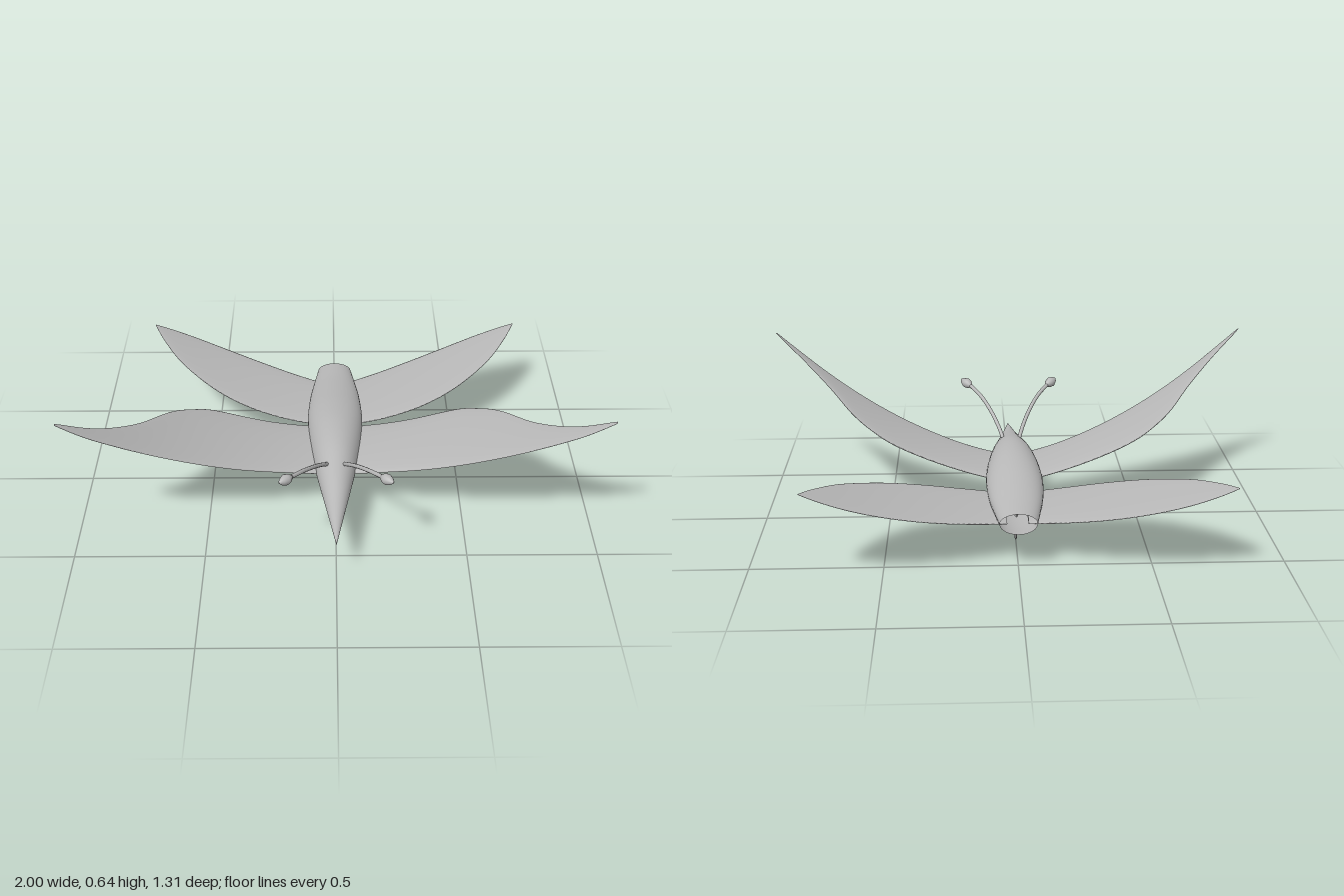
import * as THREE from 'three';

const grey = new THREE.MeshStandardMaterial({ color: 0xb8b8b8, side: THREE.DoubleSide });
grey.name = 'plain grey';

const v = (x, y, z) => new THREE.Vector3(x, y, z);

// Smooth curve through a few stations, sampled evenly per station
function sample(points, count) {
  const curve = new THREE.CatmullRomCurve3(points.map(p => v(...p)), false, 'catmullrom', 0.5);
  return Array.from({ length: count + 1 }, (_, i) => curve.getPoint(i / count));
}

// Skin a list of closed rings; the winding is turned so that faces point outward
function loft(name, rings) {
  const n = rings[0].length;
  const index = [];
  let volume = 0;
  const all = rings.flat();
  const face = (a, b, c) => {
    index.push(a, b, c);
    volume += all[a].dot(all[b].clone().cross(all[c]));
  };
  for (let i = 0; i < rings.length - 1; i++) {
    for (let j = 0; j < n; j++) {
      const k = (j + 1) % n;
      const a = i * n + j, b = i * n + k, c = a + n, d = b + n;
      face(a, b, c);
      face(b, d, c);
    }
  }
  if (volume < 0) index.reverse();
  const geometry = new THREE.BufferGeometry().setFromPoints(all);
  geometry.setIndex(index);
  geometry.computeVertexNormals();
  const mesh = new THREE.Mesh(geometry, grey);
  mesh.name = name;
  return mesh;
}

// Ring of n points from a function of the angle
const ring = (n, f) => Array.from({ length: n }, (_, j) => f(j / n * Math.PI * 2));

// Pointed body, open at the rear: z, half width, middle height, top, bottom
function makeBody() {
  const stations = [
    [0.65, 0.001, 0.18, 0.181, 0.179], [0.45, 0.036, 0.182, 0.215, 0.158],
    [0.3, 0.063, 0.185, 0.25, 0.145], [0.15, 0.088, 0.19, 0.281, 0.134],
    [0, 0.105, 0.195, 0.287, 0.126], [-0.15, 0.112, 0.195, 0.274, 0.121],
    [-0.3, 0.104, 0.19, 0.251, 0.12], [-0.42, 0.088, 0.187, 0.233, 0.126],
    [-0.54, 0.07, 0.182, 0.22, 0.14],
  ];
  const sides = sample(stations.map(s => [s[1], s[2], s[0]]), 48);
  const heights = sample(stations.map(s => [s[3], s[4], s[0]]), 48);
  return loft('body', sides.map((p, i) => ring(40, a => {
    const s = Math.sin(a);
    const h = s > 0 ? heights[i].x - p.y : p.y - heights[i].y;
    return v(p.x * Math.cos(a), p.y + h * s, p.z);
  })));
}

// Thin lens-shaped wing between two edge curves (x, z), arched upward along x
function makeWing(name, side, front, rear, arch, thickness) {
  const to3 = ([x, z]) => [x, 0, z];
  const f = sample(front.map(to3), 40), r = sample(rear.map(to3), 40);
  return loft(name, f.map((p, i) => {
    const t = thickness * (1 - 0.8 * i / 40) * (i === 40 ? 0.3 : 1);
    return ring(28, a => {
      const q = p.clone().lerp(r[i], (1 - Math.cos(a)) / 2);
      return v(side * q.x, arch(q.x) + t * Math.sin(a), q.z);
    });
  }));
}

// Belly fin: height, front z, rear z, half thickness
function makeFin() {
  const rows = [
    [0.15, 0.11, -0.322, 0.016], [0.12, 0.06, -0.32, 0.014], [0.07, -0.015, -0.312, 0.011],
    [0.03, -0.105, -0.297, 0.008], [0.012, -0.19, -0.277, 0.006], [0, -0.242, -0.256, 0.002],
  ];
  const edges = sample(rows.map(r => [r[1], r[0], r[2]]), 30);
  const widths = sample(rows.map(r => [r[3], r[0], 0]), 30);
  return loft('bellyFin', edges.map((e, i) => ring(24, a =>
    v(widths[i].x * Math.sin(a), e.y, THREE.MathUtils.lerp(e.x, e.z, (1 - Math.cos(a)) / 2)))));
}

// Curved feeler with a pointed bud at its end
function makeAntenna(name, side) {
  const group = new THREE.Group();
  group.name = name;
  const path = new THREE.CatmullRomCurve3([
    v(side * 0.03, 0.24, 0.235), v(side * 0.052, 0.285, 0.3), v(side * 0.085, 0.333, 0.38),
    v(side * 0.125, 0.372, 0.46), v(side * 0.165, 0.395, 0.525),
  ]);
  const stalk = new THREE.Mesh(new THREE.TubeGeometry(path, 32, 0.008, 10), grey);
  stalk.name = 'antennaStalk';
  const profile = [[0, -0.005], [0.008, 0], [0.018, 0.018], [0.021, 0.035], [0.014, 0.055], [0.005, 0.069], [0, 0.073]];
  const bud = new THREE.Mesh(
    new THREE.LatheGeometry(profile.map(([x, y]) => new THREE.Vector2(x, y)), 16), grey);
  bud.name = 'antennaBud';
  bud.position.copy(path.getPoint(1));
  bud.quaternion.setFromUnitVectors(v(0, 1, 0), v(side * 0.04, 0.014, 0.055).normalize());
  group.add(stalk, bud);
  return group;
}

export function createModel() {
  const model = new THREE.Group();
  model.name = 'wingedGlider';
  model.add(makeBody(), makeFin());

  // Wing edges from root to tip
  const foreFront = [[0.04, 0.225], [0.2, 0.262], [0.41, 0.33], [0.56, 0.382], [0.68, 0.427], [0.8, 0.475], [0.9, 0.515], [0.995, 0.542]];
  const foreRear = [[0.04, -0.1], [0.25, -0.066], [0.47, -0.029], [0.57, 0.03], [0.65, 0.115], [0.75, 0.28], [0.87, 0.425], [0.998, 0.533]];
  const hindFront = [[0.04, -0.15], [0.2, -0.165], [0.36, -0.205], [0.51, -0.285], [0.65, -0.415], [0.735, -0.545], [0.784, -0.648]];
  const hindRear = [[0.04, -0.475], [0.18, -0.525], [0.32, -0.575], [0.46, -0.618], [0.6, -0.65], [0.71, -0.659], [0.782, -0.654]];

  for (const [word, side] of [['left', 1], ['right', -1]]) {
    model.add(
      makeWing(word + 'ForeWing', side, foreFront, foreRear, x => 0.18 + 0.13 * x + 0.33 * x * x, 0.016),
      makeWing(word + 'HindWing', side, hindFront, hindRear, x => 0.152 + 0.1 * x + 0.2 * x * x, 0.011),
      makeAntenna(word + 'Antenna', side),
    );
  }
  return model;
}
